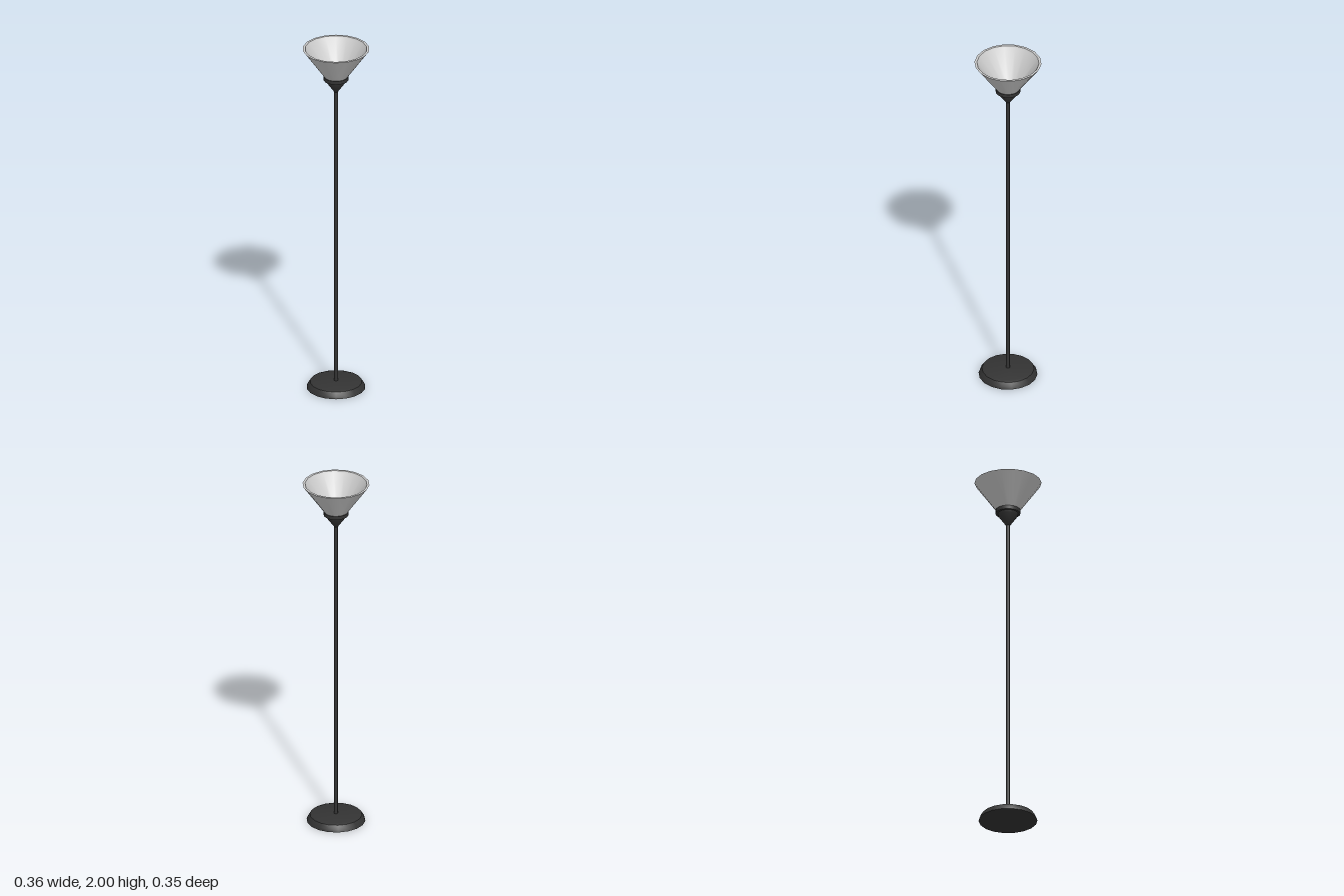
import * as THREE from 'three';
import { toCreasedNormals } from 'three/addons/utils/BufferGeometryUtils.js';

const SIDES = 18;

// Turned part: profile of [radius, height], listed from the bottom outside upwards
function turned(name, profile, material) {
  const points = profile.map(([r, y]) => new THREE.Vector2(r, y));
  const lathe = new THREE.LatheGeometry(points, SIDES);
  lathe.rotateY(Math.PI / 2); // corner on the x axis
  const mesh = new THREE.Mesh(toCreasedNormals(lathe, 0.55), material);
  mesh.name = name;
  return mesh;
}

export function createModel() {
  const darkMetal = new THREE.MeshStandardMaterial({ color: 0x333333 });
  darkMetal.name = 'dark metal';
  const paleGlass = new THREE.MeshStandardMaterial({ color: 0xcccccc });
  paleGlass.name = 'pale glass';

  const lamp = new THREE.Group();
  lamp.name = 'floorLamp';

  lamp.add(
    // Weighted foot with a bevelled edge
    turned('base', [[0, 0], [0.158, 0], [0.153, 0.014], [0.14, 0.034], [0.125, 0.04], [0, 0.04]], darkMetal),
    // Thin upright
    turned('pole', [[0.01, 0.035], [0.01, 1.76]], darkMetal),
    // Funnel under the shade
    turned('socketCone', [[0.008, 1.745], [0.014, 1.752], [0.052, 1.805], [0.055, 1.82]], darkMetal),
    // Ring gripping the shade
    turned('collar', [[0, 1.818], [0.067, 1.818], [0.067, 1.838], [0.056, 1.838]], darkMetal),
    // Hollow shade: outer wall, flat rim, inner lip, inner wall and floor
    turned('shade', [[0.058, 1.83], [0.18, 2], [0.167, 2], [0.162, 1.99], [0.056, 1.842], [0, 1.842]], paleGlass),
  );
  return lamp;
}
